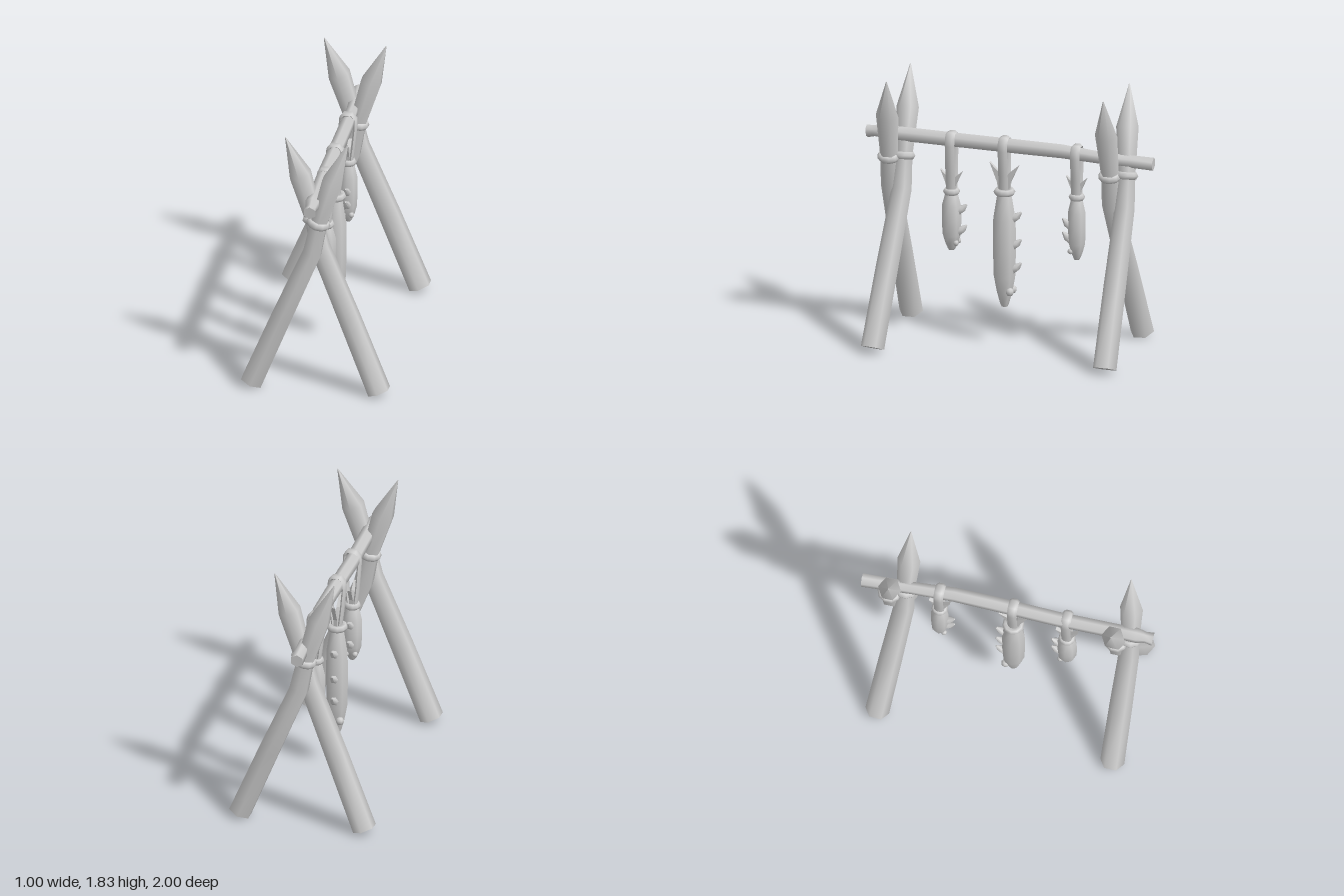
import * as THREE from 'three';
import { toCreasedNormals } from 'three/addons/utils/BufferGeometryUtils.js';

const V = (x, y, z) => new THREE.Vector3(x, y, z);
const grey = new THREE.MeshStandardMaterial({ color: 0xcccccc });
grey.name = 'plain grey';

function add(parent, name, geometry) {
  const mesh = new THREE.Mesh(geometry, grey);
  mesh.name = name;
  parent.add(mesh);
  return mesh;
}

// Capped tube through rows of [x, y, z, radius along ref, other radius]
function loft(rows, sides, ref) {
  const centres = rows.map(r => V(r[0], r[1], r[2]));
  const rings = rows.map((r, i) => {
    const t = centres[Math.min(i + 1, rows.length - 1)].clone()
      .sub(centres[Math.max(i - 1, 0)]).normalize();
    const u = ref.clone().addScaledVector(t, -ref.dot(t)).normalize();
    const v = t.clone().cross(u);
    return Array.from({ length: sides }, (_, j) => {
      const a = j / sides * Math.PI * 2;
      return centres[i].clone().addScaledVector(u, Math.cos(a) * r[3])
        .addScaledVector(v, Math.sin(a) * (r[4] ?? r[3]));
    });
  });
  const pts = [];
  const last = rows.length - 1;
  for (let j = 0; j < sides; j++) {
    const k = (j + 1) % sides;
    for (let i = 0; i < last; i++) {
      const [a, b, c, d] = [rings[i][j], rings[i][k], rings[i + 1][k], rings[i + 1][j]];
      pts.push(a, b, c, a, c, d);
    }
    pts.push(centres[0], rings[0][k], rings[0][j]);
    pts.push(centres[last], rings[last][j], rings[last][k]);
  }
  return toCreasedNormals(new THREE.BufferGeometry().setFromPoints(pts), 1.12);
}

// Rope ring around an axis
function ring(parent, name, pos, axis, radius, tube) {
  const mesh = add(parent, name, new THREE.TorusGeometry(radius, tube, 6, 10));
  mesh.position.copy(pos);
  mesh.quaternion.setFromUnitVectors(V(0, 0, 1), axis.clone().normalize());
}

// Sharpened pole; side is the sign of x at its tip
function pole(parent, side, zFoot, zNeck, zShoulder, zTip) {
  const g = new THREE.Group();
  g.name = 'sharpenedPole';
  add(g, 'poleShaft', loft([
    [-0.432 * side, 0.03, zFoot, 0.082],
    [-0.225 * side, 0.54, (zFoot + zNeck) / 2, 0.078],
    [-0.02 * side, 1.03, zNeck, 0.07],
    [0.025 * side, 1.25, zNeck, 0.062],
    [0.115 * side, 1.56, zShoulder, 0.078],
    [0.215 * side, 1.83, zTip, 0.003],
  ], 6, V(0, 0, 1)));
  ring(g, 'poleLashing', V(0.022 * side, 1.25, zNeck), V(0.25 * side, 1, 0), 0.054, 0.028);
  parent.add(g);
}

// Hanging fish; dir is the z direction its back fins point
function fish(parent, o) {
  const g = new THREE.Group();
  g.name = 'hangingFish';
  g.position.z = o.z;
  const len = o.knot - o.snout;

  // Body, from tail root to snout
  const profile = [[0, 0.55], [0.06, 0.7], [0.24, 1], [0.5, 1.03], [0.74, 0.96],
    [0.87, 0.7], [0.97, 0.42], [1, 0.28]];
  add(g, 'fishBody', loft(profile.map(([t, r]) =>
    [0, o.knot - t * len, 0, r * o.wz, r * o.wx]), 8, V(0, 0, 1)));

  // Strap looped over the beam
  const half = [[0.018, o.knot - 0.02], [0.035, o.knot + 0.12], [0.05, o.beam - 0.03],
    [0.047, o.beam + 0.02], [0.025, o.beam + 0.05]];
  const path = [...half, ...half.map(([x, y]) => [-x, y]).reverse()];
  add(g, 'hangingStrap', loft(path.map(([x, y]) => [x, y, 0, 0.033, 0.014]), 6, V(0, 0, 1)));
  ring(g, 'tailBinding', V(0, o.knot, 0), V(0, 1, 0), o.tie, 0.024);

  // Forked tail fin
  const s = o.tail;
  const tail = new THREE.Shape([[-0.035, -0.02], [0.035, -0.02], [0.05, 0.07], [0.1, 0.2],
    [0.03, 0.13], [0, 0.06], [-0.03, 0.13], [-0.1, 0.19], [-0.045, 0.07]]
    .map(([a, b]) => new THREE.Vector2(a * s, b * s)));
  const fin = add(g, 'tailFin', new THREE.ExtrudeGeometry(tail, { depth: 0.026, bevelEnabled: false }));
  fin.rotation.y = -Math.PI / 2;
  fin.position.set(0.013, o.knot, 0);

  // Spines along the back
  for (const y of o.fins) {
    add(g, 'backSpine', loft([
      [0, y - 0.02, o.dir * (o.wz - 0.025), 0.03, 0.034],
      [0, y, o.dir * (o.wz + 0.012), 0.025, 0.025],
      [0, y + 0.03, o.dir * (o.wz + 0.04), 0.006, 0.006],
    ], 6, V(1, 0, 0)));
  }

  // Eyes
  for (const side of [-1, 1]) {
    const eye = add(g, 'eye', new THREE.SphereGeometry(o.eye, 7, 5));
    eye.position.set(side * o.wx * 0.45, o.snout + len * 0.14, o.dir * o.wz * 0.6);
  }
  parent.add(g);
}

export function createModel() {
  const model = new THREE.Group();
  model.name = 'fishDryingRack';

  // Crossed poles at both ends
  pole(model, 1, 0.82, 0.838, 0.825, 0.80);
  pole(model, -1, 0.832, 0.752, 0.75, 0.76);
  pole(model, 1, -0.79, -0.70, -0.70, -0.71);
  pole(model, -1, -0.785, -0.80, -0.78, -0.765);

  // Crooked beam
  add(model, 'crossBeam', loft([
    [-0.01, 1.4, 1, 0.045], [-0.01, 1.405, 0.95, 0.038], [-0.012, 1.41, 0.89, 0.052],
    [-0.01, 1.402, 0.8, 0.05], [-0.012, 1.392, 0.35, 0.05], [0, 1.388, -0.1, 0.05],
    [0.004, 1.385, -0.36, 0.049], [-0.005, 1.36, -0.65, 0.042], [-0.02, 1.345, -0.99, 0.046],
  ], 6, V(0, 1, 0)));

  fish(model, { z: 0.41, knot: 1.035, snout: 0.625, wz: 0.066, wx: 0.066, tie: 0.034, tail: 0.75,
    beam: 1.392, dir: -1, fins: [0.92, 0.775], eye: 0.02 });
  fish(model, { z: 0.042, knot: 1.065, snout: 0.262, wz: 0.078, wx: 0.074, tie: 0.05, tail: 1,
    beam: 1.39, dir: -1, fins: [0.9, 0.71, 0.545], eye: 0.029 });
  fish(model, { z: -0.462, knot: 1.075, snout: 0.635, wz: 0.06, wx: 0.062, tie: 0.032, tail: 0.72,
    beam: 1.378, dir: 1, fins: [0.885, 0.79], eye: 0.02 });

  return model;
}
